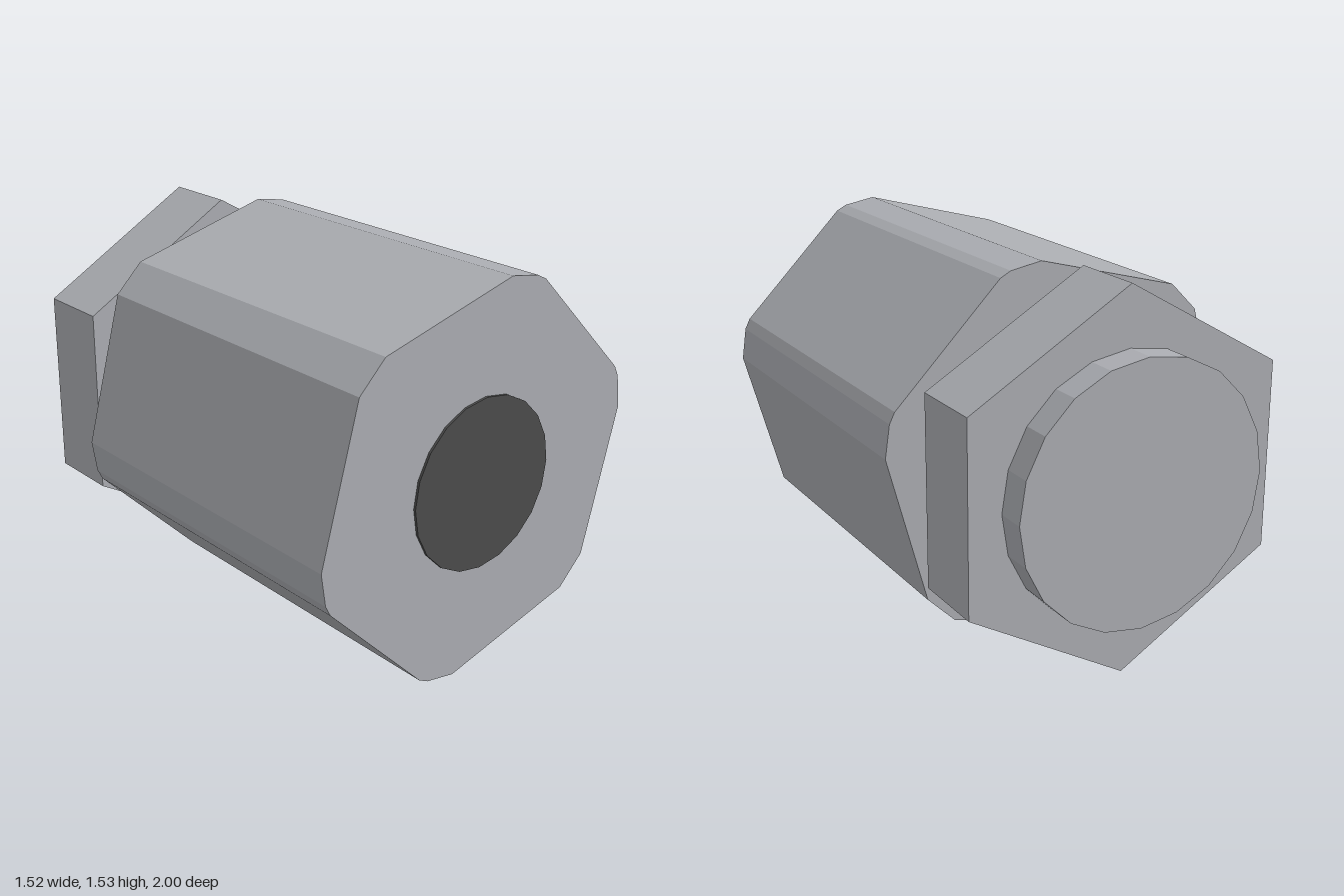
import * as THREE from 'three';

const CENTER_Y = 0.766;

export function createModel() {
  const model = new THREE.Group();
  model.name = 'hexFitting';
  const steel = new THREE.MeshStandardMaterial({ color: 0xabadb2 });
  steel.name = 'steel';
  const bore = new THREE.MeshStandardMaterial({ color: 0x4c4c4c });
  bore.name = 'darkBore';

  const add = (name, geometry, material) => {
    const mesh = new THREE.Mesh(geometry, material);
    mesh.name = name;
    mesh.position.y = CENTER_Y;
    model.add(mesh);
  };

  // Prism along z with the given outline, hard edges between its flats
  const prism = (points, back, front) =>
    new THREE.ExtrudeGeometry(new THREE.Shape(points), {
      depth: front - back, bevelEnabled: false,
    }).translate(0, 0, back);

  // Regular outline, first corner at the given angle
  const polygon = (sides, radius, start = 0) =>
    Array.from({ length: sides }, (_, i) => {
      const a = start + (i * Math.PI * 2) / sides;
      return new THREE.Vector2(Math.cos(a) * radius, Math.sin(a) * radius);
    });

  // Body: tilted hexagon with clipped corners, the half outline turned by 180 degrees
  const half = [
    [0.762, 0.11], [0.742, 0.241], [0.72, 0.284], [0.284, 0.72],
    [0.241, 0.742], [0.11, 0.764], [-0.488, 0.602], [-0.602, 0.488],
  ];
  const outline = [...half, ...half.map(([x, y]) => [-x, -y])]
    .map(([x, y]) => new THREE.Vector2(x, y));
  add('hexBody', prism(outline, -0.46, 0.99), steel);

  // Faceted shank, the nut around it and the bore face at the front
  add('shank', prism(polygon(20, 0.522), -1, -0.46), steel);
  add('nut', prism(polygon(6, 0.757, Math.PI / 2), -0.88, -0.57), steel);
  add('boreFace', prism(polygon(20, 0.34), 0.985, 1), bore);

  return model;
}
